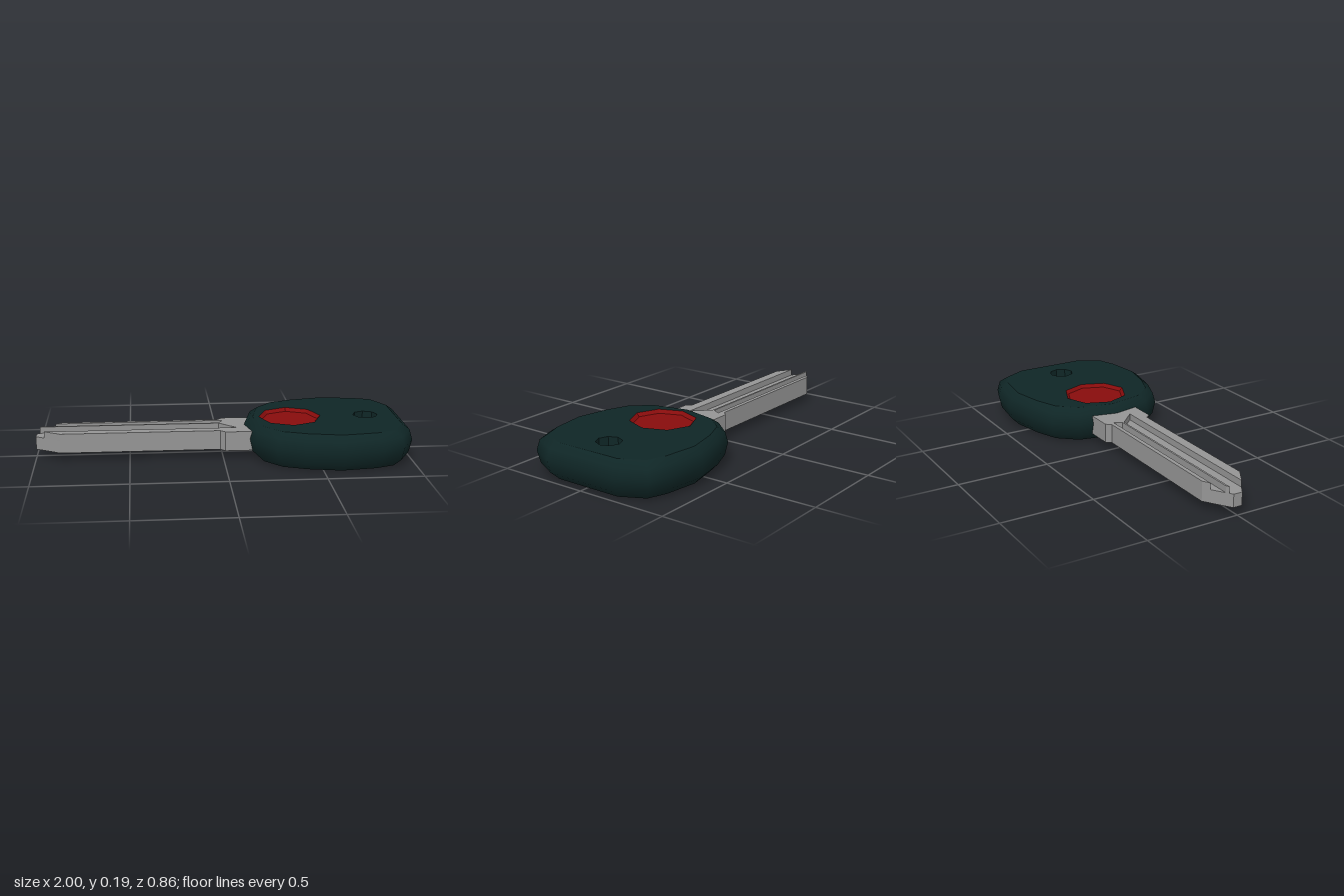
import * as THREE from 'three';

const shell = new THREE.MeshStandardMaterial({ color: 0x0f2626 });
shell.name = 'dark green plastic';
const red = new THREE.MeshStandardMaterial({ color: 0x880c0c });
red.name = 'red emblem';
const steel = new THREE.MeshStandardMaterial({ color: 0x959595 });
steel.name = 'grey metal';

const CX = 0.57, TOP = 0.192;

// Half outline of the grip as [x, z], from the far end round to the blade end
const half = [[1, 0.215], [0.925, 0.36], [0.81, 0.403], [0.6, 0.432], [0.4, 0.39], [0.26, 0.335], [0.16, 0.22]];
const outline = [...half, [0.11, 0], ...half.map(([x, z]) => [x, -z]).reverse()];
const scaled = (s) => outline.map(([x, z]) => [CX + (x - CX) * s, z * s]);
const octagon = (cx, rx, rz) => Array.from({ length: 8 }, (_, i) => {
  const a = i * Math.PI / 4;
  return [cx + rx * Math.cos(a), rz * Math.sin(a)];
});

// Surface through closed rings; faces outward when rings go up, inward when they go down
function loft(rings, flat) {
  const n = rings[0].pts.length, pos = [], idx = [];
  for (const { y, pts } of rings) for (const [x, z] of pts) pos.push(x, y, z);
  for (let k = 0; k < rings.length - 1; k++) {
    for (let i = 0; i < n; i++) {
      const a = k * n + i, b = k * n + (i + 1) % n;
      idx.push(a, a + n, b, b, a + n, b + n);
    }
  }
  let g = new THREE.BufferGeometry();
  g.setAttribute('position', new THREE.Float32BufferAttribute(pos, 3));
  g.setIndex(idx);
  if (flat) g = g.toNonIndexed();
  g.computeVertexNormals();
  return g;
}

const toShape = (pts, holes = []) => {
  const v = (p) => p.map(([x, z]) => new THREE.Vector2(x, -z));
  const s = new THREE.Shape(v(pts));
  for (const h of holes) s.holes.push(new THREE.Path(v(h)));
  return s;
};

// Flat face at height y, looking up or down
function cap(pts, holes, y, up = true) {
  const g = new THREE.ShapeGeometry(toShape(pts, holes));
  return g.rotateX(up ? -Math.PI / 2 : Math.PI / 2).translate(0, y, 0);
}

function slab(pts, y0, y1) {
  const g = new THREE.ExtrudeGeometry(toShape(pts), { depth: y1 - y0, bevelEnabled: false });
  return g.rotateX(-Math.PI / 2).translate(0, y0, 0);
}

export function createModel() {
  const group = new THREE.Group();
  group.name = 'key';
  const add = (parent, name, geometry, material) => {
    const m = new THREE.Mesh(geometry, material);
    m.name = name;
    parent.add(m);
  };

  // Grip: rounded side wall, flat faces and a ring hole through it
  const grip = new THREE.Group();
  grip.name = 'grip';
  group.add(grip);
  const ringHole = octagon(0.787, 0.067, 0.067);
  const rim = octagon(0.37, 0.168, 0.177);
  const floor = octagon(0.37, 0.152, 0.16);
  const profile = [[0, 0.874], [0.04, 0.966], [0.108, 1], [0.163, 0.966], [TOP, 0.874]];
  add(grip, 'gripSide', loft(profile.map(([y, s]) => ({ y, pts: scaled(s) }))), shell);
  add(grip, 'gripTop', cap(scaled(0.874), [ringHole, rim], TOP), shell);
  add(grip, 'gripBottom', cap(scaled(0.874), [ringHole], 0, false), shell);
  add(grip, 'ringHole', loft([{ y: TOP, pts: ringHole }, { y: 0, pts: ringHole }], true), shell);

  // Red emblem sunk into the top face
  add(grip, 'emblemRim', loft([{ y: TOP, pts: rim }, { y: TOP - 0.018, pts: floor }], true), red);
  add(grip, 'emblem', cap(floor, [], TOP - 0.018), red);

  // Blade: solid lower layer, upper layer cut by two lengthwise grooves
  const blade = new THREE.Group();
  blade.name = 'blade';
  group.add(blade);
  const front = [[0.2, 0.135], [0.01, 0.135], [-0.015, 0.107], [-0.866, 0.107]];
  const back = [[-0.866, -0.113], [-0.015, -0.113], [0.01, -0.14], [0.2, -0.14]];
  add(blade, 'bladeBase', slab([...front, [-1, 0.025], [-1, -0.025], ...back], 0.045, 0.115), steel);
  const grooves = [
    [-0.954, 0.053], [0.075, 0.053], [-0.015, -0.037], [-0.982, -0.037],
    [-0.967, -0.047], [-0.015, -0.047], [0.01, -0.09], [-0.902, -0.09],
  ];
  add(blade, 'bladeRidges', slab([...front, ...grooves, ...back], 0.115, 0.15), steel);

  return group;
}
